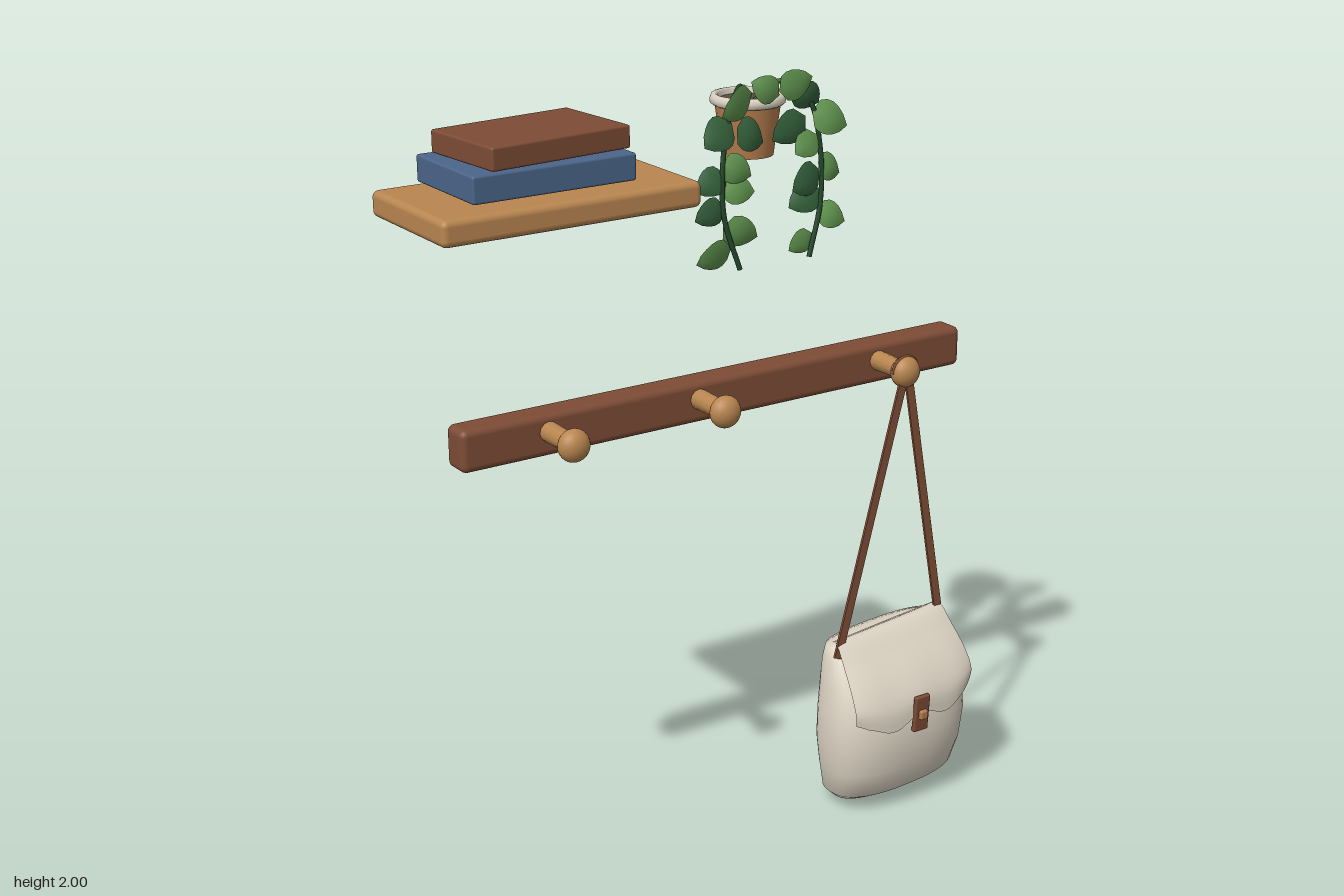
import * as THREE from 'three';
import { mergeVertices } from 'three/addons/utils/BufferGeometryUtils.js';
import { RoundedBoxGeometry } from 'three/addons/geometries/RoundedBoxGeometry.js';

const mat = (name, color, side = THREE.FrontSide) => {
  const m = new THREE.MeshStandardMaterial({ color, side });
  m.name = name;
  return m;
};

const V = (x, y, z) => new THREE.Vector3(x, y, z);

// Drop seams so that normals run smoothly over the whole surface
function smooth(geo) {
  geo.deleteAttribute('uv');
  geo.deleteAttribute('normal');
  const merged = mergeVertices(geo, 1e-5);
  merged.computeVertexNormals();
  return merged;
}

function move(geo, rule) {
  const p = geo.attributes.position;
  for (let i = 0; i < p.count; i++) p.setXYZ(i, ...rule(p.getX(i), p.getY(i), p.getZ(i)));
  return geo;
}

// Bag body: superellipse sections [y, half width, back z, front z]
function bagBody() {
  const rows = [
    [0.005, 0.10, 0.01, 0.08], [0.02, 0.16, 0.0, 0.15], [0.055, 0.195, -0.004, 0.205],
    [0.13, 0.21, -0.01, 0.23], [0.21, 0.22, -0.014, 0.236], [0.29, 0.215, -0.016, 0.228],
    [0.37, 0.202, -0.014, 0.195], [0.43, 0.188, -0.008, 0.145], [0.465, 0.175, 0.004, 0.11],
    [0.475, 0.14, 0.03, 0.09],
  ];
  const n = rows.length - 1;
  const geo = new THREE.CylinderGeometry(1, 1, 1, 40, n);
  const round = (v) => Math.sign(v) * Math.abs(v) ** 0.8;
  return smooth(move(geo, (x, y, z) => {
    const [h, w, back, front] = rows[Math.round((y + 0.5) * n)];
    const px = w * round(x);
    return [0.47 + px, h + px * 0.07, (back + front) / 2 + ((front - back) / 2) * round(z)];
  }));
}

// Bag flap: curved sheet folded forward, with a wavy lower edge
function bagFlap() {
  const curve = new THREE.CatmullRomCurve3([
    V(0.168, 0.475, 0.055), V(0.174, 0.494, 0.1), V(0.182, 0.445, 0.155),
    V(0.191, 0.385, 0.21), V(0.195, 0.325, 0.245), V(0.192, 0.275, 0.25),
  ]);
  return smooth(move(new THREE.PlaneGeometry(2, 1, 24, 14), (x, y) => {
    const t = 0.5 - y;
    const c = curve.getPoint(t);
    const wave = t ** 4 * (0.014 * Math.cos(x * 7) + 0.02 * Math.max(0, Math.abs(x) - 0.85) * 6);
    const px = c.x * x;
    return [0.466 + px, c.y + px * 0.1 + wave, c.z - 0.035 * x ** 4 * t];
  }));
}

// Leaf: pointed oval, one unit long along x, folded at the midrib
function leafGeometry() {
  return smooth(move(new THREE.PlaneGeometry(1, 1, 6, 2), (x, y) => {
    const t = x + 0.5;
    const w = 0.84 * Math.sin(Math.PI * t ** 0.75) ** 0.7 || 0;
    return [t, y * w, 0.14 * Math.sin(Math.PI * t) - 0.3 * Math.abs(y) * w];
  }));
}

export function createModel() {
  const oak = mat('oak', 0xb98650);
  const walnut = mat('walnut', 0x7d4c36);
  const blue = mat('blue cover', 0x4b6589);
  const canvas = mat('cream canvas', 0xd9d0c0, THREE.DoubleSide);
  const clay = mat('clay', 0xb67d4d);
  const soilMat = mat('soil', 0x5a4a3a);
  const leafLight = mat('light leaf', 0x5f924e, THREE.DoubleSide);
  const leafDark = mat('dark leaf', 0x35623c, THREE.DoubleSide);
  const stem = mat('vine green', 0x24482c);

  const root = new THREE.Group();
  const group = (name) => {
    const g = new THREE.Group();
    g.name = name;
    root.add(g);
    return g;
  };
  const add = (parent, name, geo, material, x = 0, y = 0, z = 0) => {
    const m = new THREE.Mesh(geo, material);
    m.name = name;
    m.position.set(x, y, z);
    parent.add(m);
    return m;
  };

  // Shelf with two stacked books
  const shelf = group('shelf');
  add(shelf, 'shelfBoard', new RoundedBoxGeometry(0.69, 0.064, 0.362, 3, 0.016), oak, -0.469, 1.753, -0.089);
  add(shelf, 'lowerBook', new RoundedBoxGeometry(0.432, 0.066, 0.278, 2, 0.006), blue, -0.497, 1.832, -0.089);
  const book = add(shelf, 'upperBook', new RoundedBoxGeometry(0.388, 0.056, 0.256, 2, 0.006), walnut, -0.479, 1.896, -0.096);
  book.rotation.y = 0.09;

  // Rail and pegs
  const rack = group('pegRail');
  add(rack, 'rail', new RoundedBoxGeometry(1.522, 0.109, 0.083, 3, 0.018), walnut, 0.05, 1.17, -0.102);
  for (const x of [-0.472, -0.036, 0.531]) {
    const post = add(rack, 'pegPost', new THREE.CylinderGeometry(0.024, 0.027, 0.13, 12), oak, x, 1.18, -0.01);
    post.rotation.x = Math.PI / 2;
    const knob = add(rack, 'pegKnob', new THREE.SphereGeometry(0.042, 20, 14), oak, x, 1.18, 0.056);
    knob.scale.z = 0.8;
  }

  // Flower pot with rim and soil
  const pot = group('flowerPot');
  pot.position.set(0.14, 0, -0.106);
  const profile = (pts) => new THREE.LatheGeometry(pts.map(([r, y]) => new THREE.Vector2(r, y)), 24);
  add(pot, 'potBody', new THREE.CylinderGeometry(0.083, 0.065, 0.132, 24), clay, 0, 1.844);
  add(pot, 'potRim', profile([
    [0.074, 1.905], [0.088, 1.905], [0.094, 1.91], [0.095, 1.92], [0.091, 1.93], [0.082, 1.932], [0.075, 1.928], [0.074, 1.905],
  ]), canvas);
  add(pot, 'soil', new THREE.CylinderGeometry(0.076, 0.076, 0.008, 24), soilMat, 0, 1.912);

  // Trailing vines
  const plant = group('trailingPlant');
  const vines = [
    [V(0.125, 1.91, -0.1), V(0.085, 1.962, -0.06), V(0.025, 1.92, -0.01), V(-0.005, 1.80, 0), V(-0.005, 1.66, 0.005), V(0.035, 1.525, 0.015)],
    [V(0.155, 1.91, -0.1), V(0.2, 1.962, -0.06), V(0.255, 1.92, -0.01), V(0.285, 1.80, 0), V(0.285, 1.66, 0.005), V(0.245, 1.525, 0.015)],
  ];
  for (const pts of vines)
    add(plant, 'vine', new THREE.TubeGeometry(new THREE.CatmullRomCurve3(pts), 40, 0.0065, 6), stem);

  // Leaves: base x, y, tip x, y, dark flag
  const leaves = [
    [0.08, 1.955, -0.02, 1.91, 0], [0.16, 1.94, 0.085, 1.98, 0], [0.02, 1.89, -0.07, 1.84, 1],
    [0.035, 1.875, 0.125, 1.825, 1], [-0.01, 1.795, 0.07, 1.755, 0], [0, 1.77, -0.075, 1.725, 1],
    [-0.01, 1.735, 0.08, 1.715, 0], [0, 1.69, -0.08, 1.655, 1], [-0.005, 1.635, 0.088, 1.60, 0],
    [0.02, 1.58, -0.075, 1.545, 0], [0.16, 1.95, 0.25, 1.98, 0], [0.21, 1.95, 0.29, 1.905, 1],
    [0.26, 1.89, 0.357, 1.845, 0], [0.24, 1.88, 0.15, 1.825, 1], [0.275, 1.83, 0.20, 1.79, 0],
    [0.28, 1.76, 0.357, 1.72, 0], [0.285, 1.74, 0.19, 1.70, 1], [0.285, 1.69, 0.20, 1.65, 1],
    [0.28, 1.64, 0.357, 1.60, 0], [0.265, 1.58, 0.20, 1.54, 0],
  ];
  const leafGeo = leafGeometry();
  leaves.forEach(([bx, by, tx, ty, dark], i) => {
    const leaf = add(plant, 'leaf', leafGeo, dark ? leafDark : leafLight, bx, by, 0);
    leaf.rotation.set((i % 3 - 1) * 0.3, i % 2 ? 0.15 : -0.15, Math.atan2(ty - by, tx - bx), 'ZYX');
    leaf.scale.setScalar(Math.hypot(tx - bx, ty - by));
  });

  // Hanging bag
  const bag = group('hangingBag');
  add(bag, 'bagBody', bagBody(), canvas);
  add(bag, 'bagFlap', bagFlap(), canvas);

  // Straps hung over the end peg
  const strap = (a, b) => {
    const d = b.clone().sub(a);
    const m = add(bag, 'strap', new THREE.BoxGeometry(0.024, d.length(), 0.007), walnut);
    m.position.copy(a).addScaledVector(d, 0.5);
    m.quaternion.setFromUnitVectors(V(0, 1, 0), d.normalize());
  };
  strap(V(0.292, 0.435, 0.103), V(0.528, 1.185, 0.062));
  strap(V(0.64, 0.435, 0.103), V(0.534, 1.185, 0.062));
  add(bag, 'strapLoop', new THREE.TorusGeometry(0.04, 0.005, 6, 16, Math.PI), walnut, 0.531, 1.181, 0.056);

  // Clasp
  const clasp = new THREE.Group();
  clasp.name = 'clasp';
  clasp.position.set(0.461, 0.289, 0.252);
  clasp.rotation.x = 0.08;
  bag.add(clasp);
  add(clasp, 'claspTab', new RoundedBoxGeometry(0.047, 0.105, 0.014, 2, 0.004), walnut);
  add(clasp, 'claspStud', new RoundedBoxGeometry(0.024, 0.026, 0.02, 2, 0.004), clay, 0, 0, 0.008);
  return root;
}
